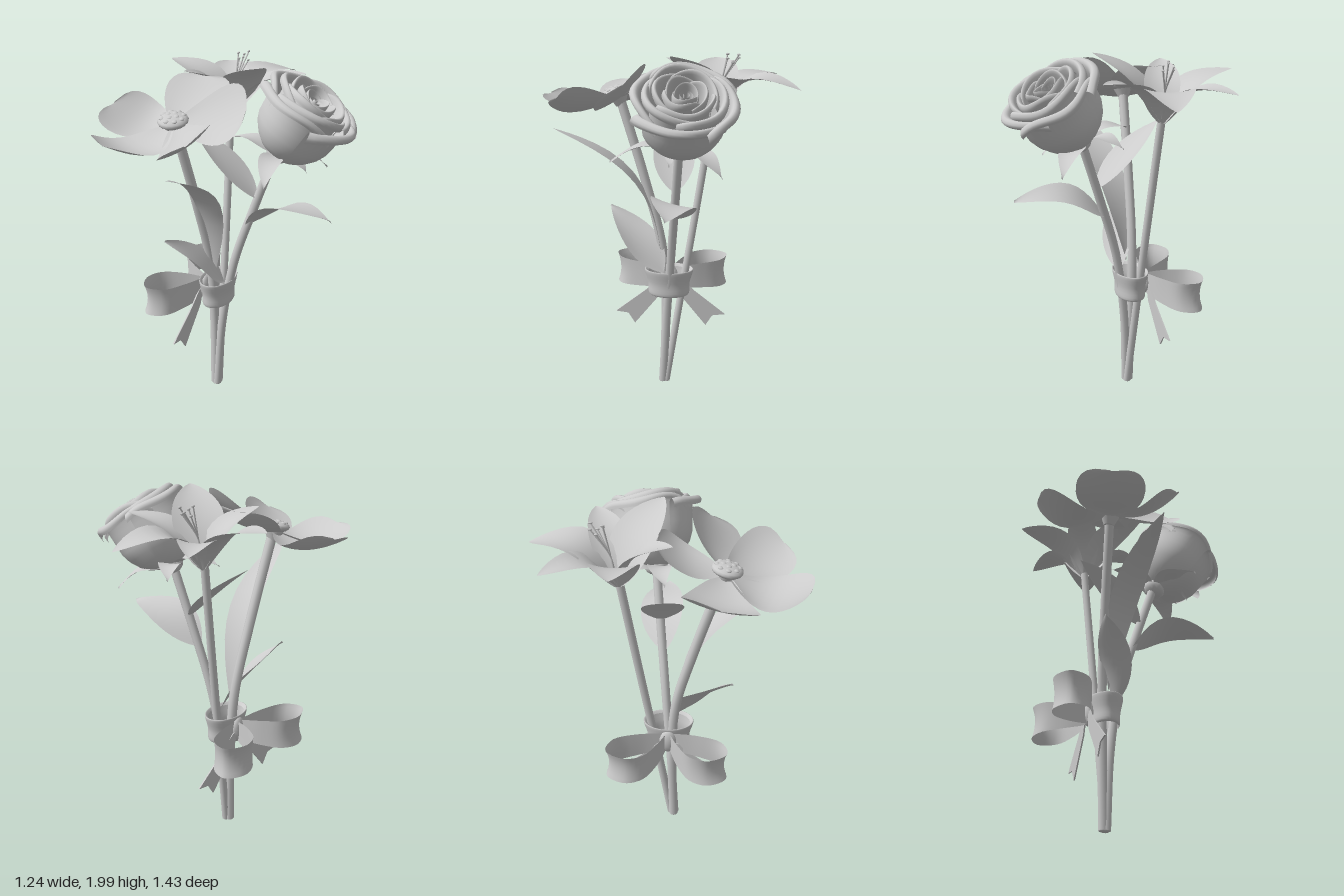
import * as THREE from 'three';

const V = (a) => new THREE.Vector3(...a);
const mat = new THREE.MeshStandardMaterial({ color: 0xcccccc, side: THREE.DoubleSide });

function add(parent, name, geo) {
  const m = new THREE.Mesh(geo, mat);
  m.name = name;
  parent.add(m);
  return m;
}

// Smooth surface sampled from f(u, v) with u, v in 0..1
function sheet(nu, nv, f) {
  const pos = [], idx = [];
  for (let i = 0; i <= nu; i++) for (let j = 0; j <= nv; j++) {
    pos.push(...f(i / nu, j / nv).toArray());
    if (i < nu && j < nv) {
      const a = i * (nv + 1) + j, b = a + nv + 1;
      idx.push(a, b, a + 1, b, b + 1, a + 1);
    }
  }
  const g = new THREE.BufferGeometry();
  g.setAttribute('position', new THREE.Float32BufferAttribute(pos, 3));
  g.setIndex(idx);
  g.computeVertexNormals();
  return g;
}

// Leaf or petal from base to tip; a and b shape the outline, arch bends it, cup folds it
function blade(base, tip, { width, up = [0, 1, 0], arch = 0, cup = 0, a = 0.8, b = 1, wave = 0 }) {
  const p = V(base), d = V(tip).sub(p);
  const side = d.clone().cross(V(up)).normalize();
  const n = side.clone().cross(d).normalize();
  const peak = a / (a + b), top = peak ** a * (1 - peak) ** b;
  return sheet(16, 8, (u, v) => {
    const t = (1 - Math.cos(Math.PI * u)) / 2, s = v * 2 - 1;
    const w = Math.max(0.03, (t ** a * (1 - t) ** b) / top);
    const lift = arch * Math.sin(Math.PI * t) + cup * s * s * w + wave * s * Math.sin(t * 7);
    return p.clone().addScaledVector(d, t).addScaledVector(side, s * w * width / 2).addScaledVector(n, lift);
  });
}

function tube(points, r, sides = 10) {
  return new THREE.TubeGeometry(new THREE.CatmullRomCurve3(points.map(V)), 24, r, sides);
}

// Group whose local y axis points along the given direction
function tilted(parent, name, at, axis) {
  const g = new THREE.Group();
  g.name = name;
  g.position.set(...at);
  g.quaternion.setFromUnitVectors(new THREE.Vector3(0, 1, 0), V(axis).normalize());
  parent.add(g);
  return g;
}

function stems(root) {
  const list = [
    ['openFlowerStem', 0.027, [[-0.145, 0.01, 0.03], [-0.155, 0.5, 0.02], [-0.165, 0.85, 0.04], [-0.185, 1.25, 0.14], [-0.21, 1.73, 0.285]]],
    ['lilyStem', 0.022, [[-0.13, 0.01, 0.015], [-0.15, 0.5, -0.06], [-0.17, 1, -0.14], [-0.2, 1.65, -0.24]]],
    ['roseStem', 0.025, [[-0.13, 0.01, 0.035], [-0.105, 0.45, 0.01], [-0.04, 0.85, -0.02], [0.07, 1.2, -0.05], [0.19, 1.55, -0.08]]],
  ];
  for (const [name, r, pts] of list) {
    add(root, name, tube(pts, r));
    const cap = add(root, name + 'End', new THREE.SphereGeometry(r, 10, 6));
    cap.position.set(...pts[0]);
    cap.scale.y = 0.35;
  }
}

function leaves(root) {
  add(root, 'roseLeafRight', blade([0.03, 1.09, -0.03], [0.55, 1.24, -0.03], { width: 0.25, up: [0, 1, -0.25], arch: 0.09, cup: 0.01, wave: 0.01 }));
  add(root, 'roseLeafUpper', blade([0.09, 1.26, -0.05], [-0.29, 1.6, -0.01], { width: 0.23, arch: 0.01, cup: 0.015 }));
  add(root, 'tallLeaf', blade([-0.13, 0.78, 0.04], [-0.02, 1.58, 0.63], { width: 0.17, up: [0, 1, -0.5], arch: 0.175, cup: 0.008, a: 1.1, b: 0.9 }));
  add(root, 'shortLeaf', blade([-0.08, 0.73, 0.03], [-0.25, 1.08, 0.35], { width: 0.21, up: [0.8, 0.75, -0.4], arch: 0.02, cup: 0.02, wave: 0.01 }));
}

// Five broad petals around a button centre
function openFlower(root) {
  const g = new THREE.Group();
  g.name = 'openFlower';
  root.add(g);
  const petals = [
    [[0.18, 1.85, 0.22], 0.36, [0, 1, 0.8], -0.03], [[0.07, 1.76, 0.59], 0.31, [-0.5, 1, 0.3], -0.06],
    [[-0.34, 1.72, 0.7], 0.37, [0, 1, 0], -0.085], [[-0.62, 1.77, 0.26], 0.38, [0, 1, 0.2], -0.08],
    [[-0.23, 1.9, -0.05], 0.37, [0, 1, 0], -0.04],
  ];
  for (const [tip, width, up, arch] of petals) {
    add(g, 'broadPetal', blade([-0.21, 1.735, 0.29], tip, { width, up, arch, a: 0.85, b: 0.32, cup: 0.03, wave: 0.005 }));
  }
  const c = tilted(g, 'flowerCentre', [-0.21, 1.755, 0.295], [0.05, 1, 0.2]);
  add(c, 'button', new THREE.SphereGeometry(0.082, 18, 10)).scale.y = 0.4;
  for (let i = 0; i < 12; i++) {
    const r = i < 8 ? 0.055 : 0.025, a = i * Math.PI / (i < 8 ? 4 : 2);
    const bump = add(c, 'buttonBump', new THREE.SphereGeometry(0.016, 8, 6));
    bump.position.set(r * Math.cos(a), i < 8 ? 0.02 : 0.027, r * Math.sin(a));
    bump.scale.y = 0.5;
  }
  add(c, 'calyx', new THREE.CylinderGeometry(0.055, 0.028, 0.06, 12)).position.y = -0.05;
}

// Six pointed petals with stamens
function lily(root) {
  const g = new THREE.Group();
  g.name = 'lily';
  root.add(g);
  const petals = [
    [[-0.05, 1.8, -0.71], 0.27, 0.13], [[-0.44, 1.83, -0.6], 0.2, 0.1], [[-0.6, 1.9, -0.25], 0.25, 0.08],
    [[-0.32, 1.93, 0.03], 0.19, 0.07], [[0.1, 1.99, -0.03], 0.27, 0.06], [[0.19, 1.89, -0.39], 0.2, 0.08],
  ];
  for (const [tip, width, arch] of petals) {
    add(g, 'pointedPetal', blade([-0.2, 1.63, -0.25], tip, { width, arch, cup: 0.02, a: 0.75, b: 0.8 }));
  }
  for (let i = 0; i < 6; i++) {
    const x = -0.18 + 0.03 * Math.cos(i * Math.PI / 3), z = -0.345 + 0.035 * Math.sin(i * Math.PI / 3);
    const y = 1.93 + 0.02 * (i % 3);
    add(g, 'stamen', tube([[-0.2, 1.66, -0.26], [-0.195, 1.8, -0.28], [x, y, z]], 0.004, 5));
    const tip = add(g, 'anther', new THREE.SphereGeometry(0.006, 6, 5));
    tip.position.set(x, y, z);
    tip.scale.z = 2;
  }
}

// Nested rings of wrapped petals with rolled lips
function rose(root) {
  const g = tilted(root, 'rose', [0.19, 1.53, -0.08], [0.21, 0.33, -0.045]);
  const profile = new THREE.CatmullRomCurve3([[0.12, 0], [0.55, 0.14], [0.84, 0.42], [0.89, 0.75], [0.93, 0.94], [1.02, 0.98], [1.1, 0.93], [1.08, 0.87]].map(V));
  const rings = [[0.245, 0.37, 4], [0.195, 0.4, 3], [0.15, 0.41, 3], [0.1, 0.41, 3], [0.06, 0.4, 2]];
  rings.forEach(([R, H, count], k) => {
    for (let i = 0; i < count; i++) {
      const mid = (i / count) * Math.PI * 2 + k * 0.8, half = Math.PI / count * 1.35;
      add(g, 'wrappedPetal', sheet(20, 16, (u, v) => {
        const s = u * 2 - 1, p = profile.getPoint(v), ang = mid + s * half;
        const r = R * p.x * (1 + 0.08 * s * v + 0.03 * v * Math.cos(s * 5));
        const y = H * p.y * (1 - 0.13 * v * s ** 4) + 0.015 * v * Math.cos(s * 4 + i);
        return new THREE.Vector3(r * Math.cos(ang), y, r * Math.sin(ang));
      }));
    }
  });
  // Rolled bud in the middle
  add(g, 'bud', sheet(30, 6, (u, v) => {
    const a = u * Math.PI * 4, r = (0.008 + 0.035 * u) * (0.8 + 0.2 * v);
    return new THREE.Vector3(r * Math.cos(a), 0.2 + 0.18 * v - 0.01 * u, r * Math.sin(a));
  }));
  const hip = add(g, 'hip', new THREE.SphereGeometry(0.065, 14, 10));
  hip.scale.y = 0.75;
  hip.position.y = 0.01;
  // Drooping sepals
  const tips = [[0.38, 1.42, -0.31], [0.31, 1.48, 0.27], [-0.1, 1.58, -0.02], [0.03, 1.53, -0.28], [0.39, 1.48, -0.04]];
  for (const tip of tips) {
    add(root, 'sepal', blade([0.19, 1.53, -0.08], tip, { width: 0.13, arch: 0.05, cup: 0.01, b: 1.2, wave: 0.008 }));
  }
}

// Band around the stems with a two-loop bow on one side
function ribbon(root) {
  const g = new THREE.Group();
  g.name = 'ribbon';
  root.add(g);
  const section = [[0.85, 0.575], [0.94, 0.59], [0.95, 0.65], [1.1, 0.72], [1.08, 0.735], [0.95, 0.72]];
  const band = add(g, 'band', new THREE.LatheGeometry(new THREE.SplineCurve(section.map(([x, y]) => new THREE.Vector2(x, y))).getPoints(16), 32));
  band.scale.set(0.086, 1, 0.128);
  band.position.set(-0.137, 0, 0);
  const knot = add(g, 'knot', new THREE.SphereGeometry(0.05, 14, 10));
  knot.scale.set(0.6, 1.5, 1);
  knot.position.set(-0.225, 0.65, 0);
  for (const m of [1, -1]) {
    const path = new THREE.CatmullRomCurve3([[-0.23, 0, 0.01], [-0.35, 0, 0.06], [-0.45, 0, 0.13], [-0.48, 0, 0.23],
      [-0.42, 0, 0.33], [-0.32, 0, 0.3], [-0.26, 0, 0.17], [-0.225, 0, 0.01]].map(V));
    add(g, 'bowLoop', sheet(32, 8, (u, v) => {
      const p = path.getPoint(u), s = v * 2 - 1, h = 0.055 + 0.035 * Math.sin(Math.PI * u) ** 0.6;
      // Shallow groove along the ribbon's middle
      const k = 1 - 0.05 * (1 - s * s);
      return new THREE.Vector3(-0.23 + (p.x + 0.23) * k, 0.645 + s * h, p.z * k * m);
    }));
    const tail = new THREE.Shape([[0.01, 0.66], [0.06, 0.64], [0.14, 0.56], [0.33, 0.41], [0.255, 0.4], [0.215, 0.335], [0.05, 0.54]]
      .map(([z, y]) => new THREE.Vector2(-z * m, y)));
    const t = add(g, 'bowTail', new THREE.ExtrudeGeometry(tail, { depth: 0.008, bevelEnabled: false }));
    t.rotation.y = Math.PI / 2;
    t.position.x = -0.24;
  }
}

export function createModel() {
  const root = new THREE.Group();
  root.name = 'bouquet';
  for (const part of [stems, leaves, openFlower, lily, rose, ribbon]) part(root);
  return root;
}
